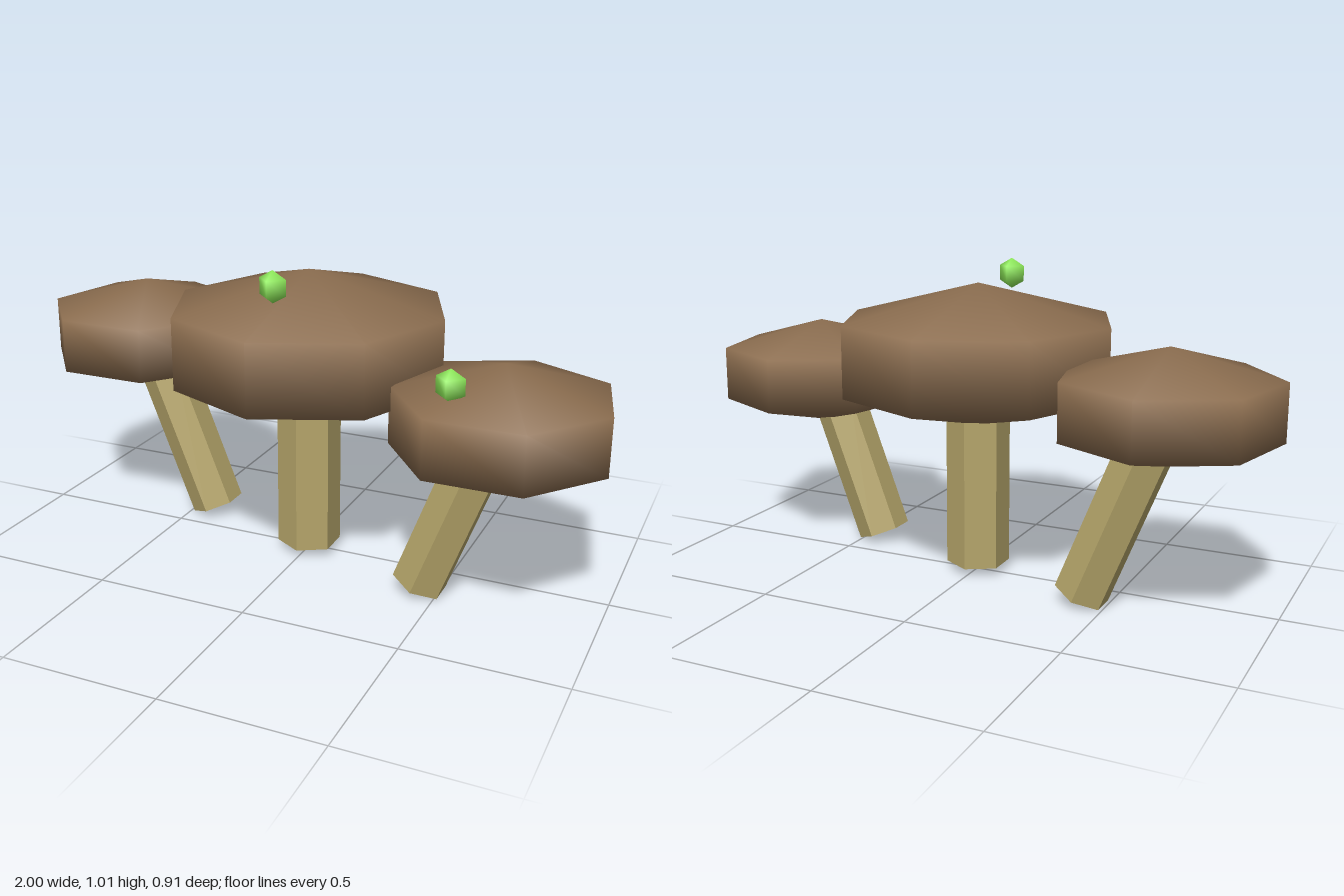
import * as THREE from 'three';

const capMaterial = new THREE.MeshStandardMaterial({ color: 0x8b6d4f });
const stemMaterial = new THREE.MeshStandardMaterial({ color: 0xb5a56a, flatShading: true });
const budMaterial = new THREE.MeshStandardMaterial({ color: 0x90ee5a });

// Three-band squashed ball: rings sit at half height above and below the centre
function makeCap(name, sides, radius, halfHeight, turn, x, y, z) {
  const geometry = new THREE.SphereGeometry(1, sides, 3);
  geometry.scale(radius, halfHeight, radius);
  geometry.rotateY(turn);
  const cap = new THREE.Mesh(geometry, capMaterial);
  cap.name = name;
  cap.position.set(x, y, z);
  return cap;
}

// Six-sided stem placed by the centre of its foot, leaning sideways
function makeStem(name, radius, length, lean, x, y, z) {
  const geometry = new THREE.CylinderGeometry(radius, radius, length, 6);
  geometry.translate(0, length / 2, 0);
  const stem = new THREE.Mesh(geometry, stemMaterial);
  stem.name = name;
  stem.position.set(x, y, z);
  stem.rotation.z = lean;
  return stem;
}

// Small faceted bud
function makeBud(name, x, y, z) {
  const bud = new THREE.Mesh(new THREE.SphereGeometry(0.05, 4, 3), budMaterial);
  bud.name = name;
  bud.position.set(x, y, z);
  return bud;
}

export function createModel() {
  const model = new THREE.Group();
  model.name = 'mushroomCluster';

  model.add(
    // Caps
    makeCap('middleCap', 8, 0.515, 0.23, 0, 0, 0.73, 0.007),
    makeCap('rightCap', 7, 0.386, 0.178, -Math.PI / 2, -0.673, 0.652, -0.126),
    makeCap('leftCap', 7, 0.386, 0.18, -Math.PI / 2, 0.673, 0.6, 0.134),
    // Stems
    makeStem('middleStem', 0.103, 0.58, 0, 0, 0.035, 0.007),
    makeStem('rightStem', 0.089, 0.56, 0.38, -0.417, 0.036, -0.122),
    makeStem('leftStem', 0.089, 0.5, -0.36, 0.437, 0.036, 0.14),
    // Buds on the caps
    makeBud('middleBud', 0, 0.963, 0.266),
    makeBud('leftBud', 0.568, 0.756, 0.32)
  );
  return model;
}
